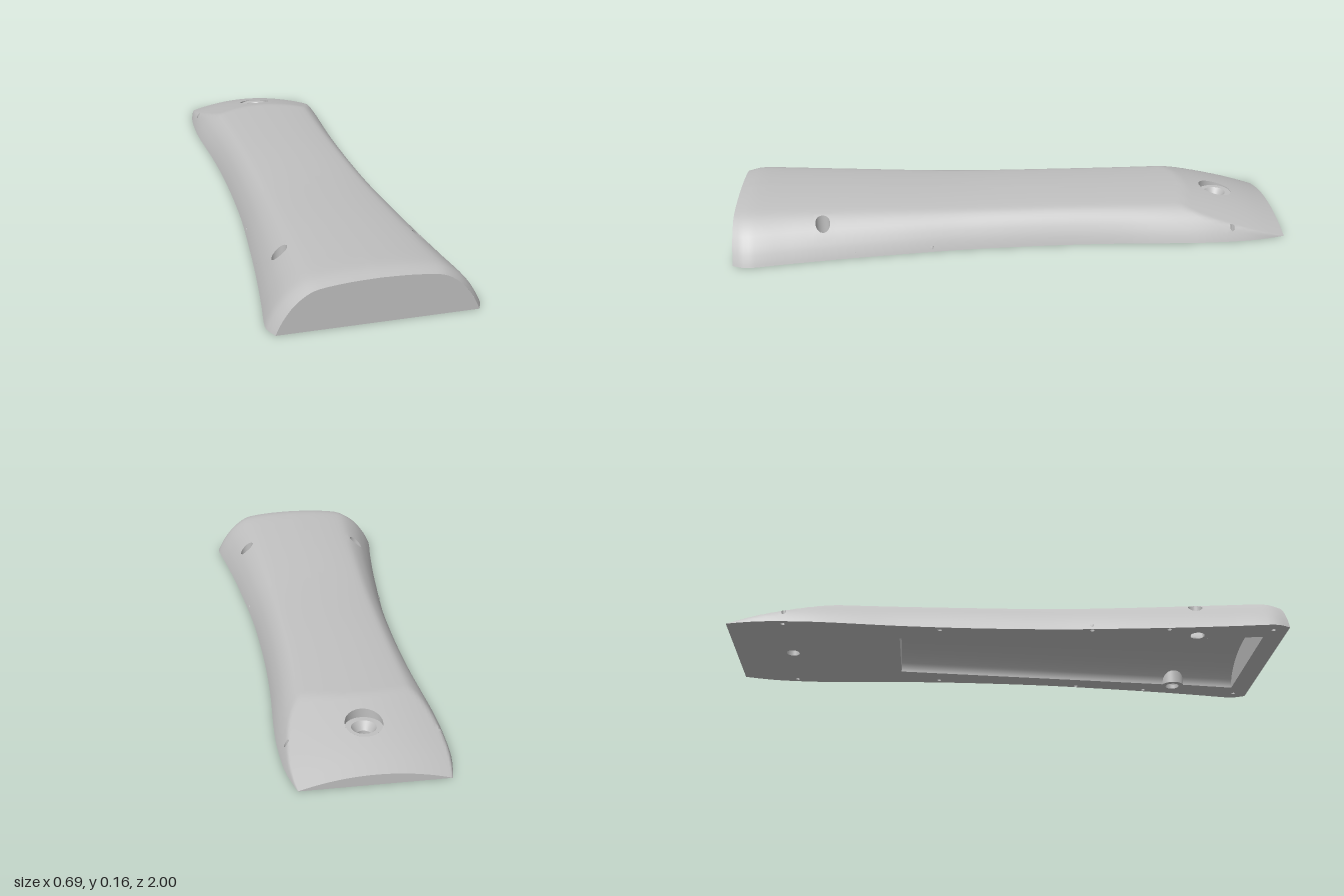
import * as THREE from 'three';

// Smooth curve through [position, value] pairs
function curve(pts) {
  const slope = (i) => {
    const a = pts[Math.max(i - 1, 0)], b = pts[Math.min(i + 1, pts.length - 1)];
    return (b[1] - a[1]) / (b[0] - a[0]);
  };
  return (p) => {
    let i = 0;
    while (i < pts.length - 2 && p > pts[i + 1][0]) i++;
    const [p0, v0] = pts[i], [p1, v1] = pts[i + 1], d = p1 - p0;
    const t = Math.min(Math.max((p - p0) / d, 0), 1), u = 1 - t;
    return v0 * (1 + 2 * t) * u * u + slope(i) * d * t * u * u
      + v1 * t * t * (3 - 2 * t) - slope(i + 1) * d * t * t * u;
  };
}

const halfWidth = curve([[-1, 0.24], [-0.95, 0.253], [-0.88, 0.266], [-0.8, 0.272], [-0.7, 0.274],
  [-0.6, 0.27], [-0.4, 0.258], [-0.2, 0.253], [0, 0.255], [0.2, 0.263], [0.4, 0.28], [0.6, 0.3],
  [0.8, 0.325], [0.93, 0.344], [0.96, 0.343], [1, 0.325]]);
const height = curve([[-1, 0.123], [-0.6, 0.126], [-0.2, 0.131], [0.2, 0.136], [0.6, 0.152],
  [0.8, 0.16], [0.92, 0.164], [0.96, 0.162], [1, 0.153]]);
const profile = curve([[0, 1], [0.29, 0.977], [0.56, 0.912], [0.67, 0.835], [0.815, 0.61],
  [0.92, 0.33], [0.975, 0.12], [1, 0]]);
// Sloping cut across the back
const cut = curve([[-1, 0.036], [-0.9, 0.067], [-0.8, 0.093], [-0.67, 0.123], [-0.5, 0.16]]);

// Height of the outer shell above a point of the base
function shellY(x, z) {
  const w = halfWidth(z), s = Math.min(Math.abs(x) / w, 1);
  const shoulder = 0.29 + 0.1 / w;
  const t = s < shoulder ? s * 0.58 / shoulder : 0.58 + 0.42 * (s - shoulder) / (1 - shoulder);
  const y = height(z) * profile(t);
  return z < -0.5 ? Math.max(0, Math.min(y, cut(z) - 0.62 * x * x)) : y;
}

function geometryOf(positions, index) {
  const g = new THREE.BufferGeometry();
  g.setAttribute('position', new THREE.Float32BufferAttribute(positions, 3));
  g.setIndex(index);
  g.computeVertexNormals();
  return g;
}

// Surface from rows and columns of points
function grid(rows, cols, point, skip = () => false) {
  const positions = [], index = [];
  for (let i = 0; i <= rows; i++) for (let j = 0; j <= cols; j++) positions.push(...point(i, j));
  for (let i = 0; i < rows; i++) for (let j = 0; j < cols; j++) {
    if (skip(i, j)) continue;
    const a = i * (cols + 1) + j, b = a + cols + 1;
    index.push(a, b, a + 1, b, b + 1, a + 1);
  }
  return { positions, index };
}

// Outer shell with round openings
function shellGeometry(openings) {
  const rows = 100, cols = 48, margin = 0.006;
  const at = (i, j) => {
    const z = -1 + 2 * i / rows;
    return [halfWidth(z) * Math.sin((2 * j / cols - 1) * Math.PI / 2), z];
  };
  const column = (x, z) => (Math.asin(x / halfWidth(z)) * 2 / Math.PI + 1) * cols / 2;
  const blocks = openings.map(([x, z, r]) => {
    const e = r + margin;
    return { x, z, r,
      i0: Math.floor((z - e + 1) * rows / 2), i1: Math.ceil((z + e + 1) * rows / 2),
      j0: Math.floor(column(x - e, z)), j1: Math.ceil(column(x + e, z)) };
  });
  const { positions, index } = grid(rows, cols,
    (i, j) => { const [x, z] = at(i, j); return [x, shellY(x, z), z]; },
    (i, j) => blocks.some((b) => i >= b.i0 && i < b.i1 && j >= b.j0 && j < b.j1));
  // Fill between each removed block and its circle
  for (const b of blocks) {
    const loop = [];
    for (let j = b.j0; j < b.j1; j++) loop.push([b.i0, j]);
    for (let i = b.i0; i < b.i1; i++) loop.push([i, b.j1]);
    for (let j = b.j1; j > b.j0; j--) loop.push([b.i1, j]);
    for (let i = b.i1; i > b.i0; i--) loop.push([i, b.j0]);
    const n = loop.length, steps = 3;
    let previous = loop.map(([i, j]) => i * (cols + 1) + j);
    for (let k = 1; k <= steps; k++) {
      const ring = loop.map(([i, j]) => {
        const [x, z] = at(i, j), a = Math.atan2(z - b.z, x - b.x), t = k / steps;
        const px = x + (b.x + b.r * Math.cos(a) - x) * t;
        const pz = z + (b.z + b.r * Math.sin(a) - z) * t;
        positions.push(px, shellY(px, pz), pz);
        return positions.length / 3 - 1;
      });
      for (let m = 0; m < n; m++) {
        const q = (m + 1) % n;
        index.push(previous[m], ring[m], previous[q], ring[m], ring[q], previous[q]);
      }
      previous = ring;
    }
  }
  return geometryOf(positions, index);
}

// Wall of a vertical hole, from y0 up to the shell
function boreGeometry(x, z, r, y0) {
  const { positions, index } = grid(1, 32, (i, j) => {
    const a = j / 32 * Math.PI * 2, px = x + r * Math.cos(a), pz = z + r * Math.sin(a);
    return [px, i ? shellY(px, pz) : y0, pz];
  });
  return geometryOf(positions, index.reverse());
}

// Upright flat face below an arch
function archGeometry(w, yAt, z, facing) {
  const shape = new THREE.Shape();
  shape.moveTo(-w, 0);
  shape.lineTo(w, 0);
  for (let k = 1; k < 40; k++) {
    const x = w * Math.cos(k / 40 * Math.PI);
    shape.lineTo(x, yAt(x));
  }
  const g = new THREE.ShapeGeometry(shape);
  if (facing < 0) g.rotateY(Math.PI);
  return g.translate(0, 0, z);
}

export function createModel() {
  const group = new THREE.Group();
  const grey = new THREE.MeshStandardMaterial({ color: 0xc0c0c0, side: THREE.DoubleSide });
  grey.name = 'plain grey';
  const add = (name, geometry) => {
    const mesh = new THREE.Mesh(geometry, grey);
    mesh.name = name;
    group.add(mesh);
    return mesh;
  };

  const back = -0.39, front = 0.925;
  const screw = { x: 0.238, z: 0.685, r: 0.026, boss: 0.045 };
  const mount = { z: -0.79, r: 0.024, seat: 0.062, y: 0.078 };
  const cavityWidth = (z) => 0.152 + 0.088 * (z - back) / (front - back);
  const cavityY = (x, z) => (0.083 + 0.019 * (z - back) / (front - back))
    * Math.sqrt(Math.max(0, 1 - (x / cavityWidth(z)) ** 2));
  const pins = [[0.23, -0.245], [0.26, 0.3], [0.283, 0.575], [0.3, 0.947]];
  const sides = [1, -1];

  // Outer shell and flat ends
  const openings = [[0, mount.z, mount.seat]];
  for (const s of sides) openings.push([s * screw.x, screw.z, screw.r], [s * 0.25, -0.8, 0.008]);
  add('outerShell', shellGeometry(openings));
  add('frontEnd', archGeometry(halfWidth(1), (x) => shellY(x, 1), 1, 1));
  add('backEnd', archGeometry(halfWidth(-1), (x) => shellY(x, -1), -1, -1));

  // Flat underside with its openings
  const outline = [];
  for (let k = 0; k <= 100; k++) outline.push(new THREE.Vector2(halfWidth(k / 50 - 1), k / 50 - 1));
  for (let k = 100; k >= 0; k--) outline.push(new THREE.Vector2(-halfWidth(k / 50 - 1), k / 50 - 1));
  const base = new THREE.Shape(outline);
  const bite = [];
  for (let k = 0; k <= 12; k++) {
    const a = Math.PI + (k / 6 - 1) * 1.18;
    bite.push([screw.x + screw.boss * Math.cos(a), screw.z - screw.boss * Math.sin(a)]);
  }
  bite.sort((p, q) => p[1] - q[1]);
  const rim = [[cavityWidth(back), back], ...bite, [cavityWidth(front), front]];
  base.holes.push(new THREE.Path([...rim, ...rim.map(([x, z]) => [-x, z]).reverse()]
    .map(([x, z]) => new THREE.Vector2(x, z))));
  const round = (x, z, r) => base.holes.push(new THREE.Path().absarc(x, z, r, 0, Math.PI * 2, true));
  round(0, mount.z, mount.r);
  for (const s of sides) {
    round(s * screw.x, screw.z, screw.r);
    round(s * 0.25, -0.8, 0.008);
    for (const [x, z] of pins) round(s * x, z, 0.008);
  }
  add('underside', new THREE.ShapeGeometry(base, 16).rotateX(Math.PI / 2));

  // Arched hollow
  const arch = grid(24, 40, (i, j) => {
    const z = back + (front - back) * i / 24, x = cavityWidth(z) * Math.cos(j / 40 * Math.PI);
    return [x, cavityY(x, z), z];
  });
  add('hollowCeiling', geometryOf(arch.positions, arch.index));
  add('hollowFrontWall', archGeometry(cavityWidth(front), (x) => cavityY(x, front), front, -1));
  add('hollowBackWall', archGeometry(cavityWidth(back), (x) => cavityY(x, back), back, 1));

  // Screw holes with bosses, and small pin holes
  for (const s of sides) {
    add('screwHole', boreGeometry(s * screw.x, screw.z, screw.r, 0));
    add('screwBoss', new THREE.CylinderGeometry(screw.boss, screw.boss, 0.07, 16, 1, true,
      -s * Math.PI / 2 - 1.18, 2.36)).position.set(s * screw.x, 0.035, screw.z);
    add('throughPinHole', boreGeometry(s * 0.25, -0.8, 0.008, 0));
    for (const [x, z] of pins) {
      const pin = [[0, 0.02], [0.008, 0.02], [0.008, 0]].map((p) => new THREE.Vector2(...p));
      add('pinHole', new THREE.LatheGeometry(pin, 12)).position.set(s * x, 0, z);
    }
  }

  // Recessed seat and tapered mounting hole
  add('mountSeatWall', boreGeometry(0, mount.z, mount.seat, mount.y));
  const steps = [[mount.seat, mount.y], [0.041, mount.y], [mount.r, 0.05], [mount.r, 0]];
  for (let k = 0; k < 3; k++) {
    const pair = [steps[k], steps[k + 1]].map((p) => new THREE.Vector2(...p));
    add('mountHole', new THREE.LatheGeometry(pair, 32)).position.z = mount.z;
  }
  return group;
}
